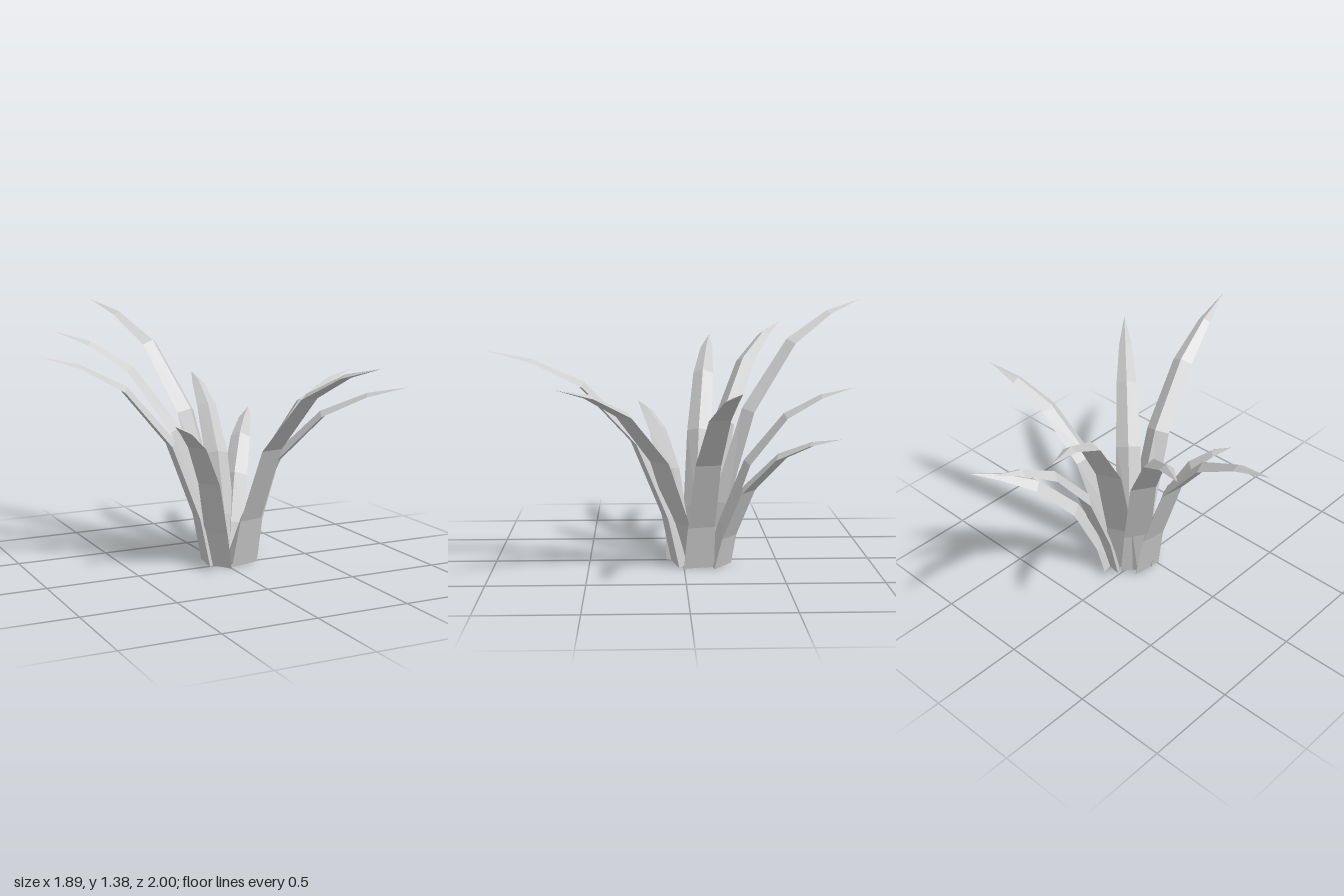
import * as THREE from 'three';

// Each leaf: base x, base z, tip x, tip height, tip z
const LEAVES = [
  [0.09, 0.025, 0.32, 1.155, 1.0],
  [0.09, -0.03, 0.74, 1.0, 0.62],
  [0.16, -0.075, 0.94, 1.0, -0.24],
  [0.13, -0.19, 0.53, 0.73, -0.76],
  [0.09, -0.18, 0.2, 0.95, -0.87],
  [0.03, -0.14, -0.38, 1.385, -1.0],
  [-0.02, -0.11, -0.74, 1.245, -0.59],
  [-0.06, -0.07, -0.95, 1.155, -0.19],
  [-0.03, 0.01, -0.39, 0.82, 0.24],
];

// Shared arch: outward fraction, height fraction, blade width, ridge height
const ARCH = [
  [0, 0, 0.165, 0.085],
  [0.06, 0.23, 0.145, 0.055],
  [0.23, 0.58, 0.135, 0.042],
  [0.51, 0.84, 0.112, 0.033],
  [0.77, 0.95, 0.07, 0.02],
  [1, 1, 0, 0],
];

// Arching blade: a triangular section (flat outside, ridge inside) swept to a point
function leafGeometry([bx, bz, tx, h, tz]) {
  const out = new THREE.Vector3(tx - bx, 0, tz - bz);
  const reach = out.length();
  out.normalize();
  const side = new THREE.Vector3(out.z, 0, -out.x);
  const positions = [], index = [];
  const last = ARCH.length - 1;

  ARCH.forEach(([r, y, w, ridge], i) => {
    const a = ARCH[Math.max(i - 1, 0)], b = ARCH[Math.min(i + 1, last)];
    const dr = (b[0] - a[0]) * reach, dy = (b[1] - a[1]) * h, len = Math.hypot(dr, dy);
    // normal of the inner (upper) face; the base ring stays level
    const nr = i ? -dy / len : -1, ny = i ? dr / len : 0;
    const back = -0.12 * w;
    for (const [s, n] of [[w / 2, back], [0, back + ridge], [-w / 2, back]]) {
      const radial = r * reach + nr * n;
      positions.push(
        bx + out.x * radial + side.x * s,
        y * h + ny * n,
        bz + out.z * radial + side.z * s,
      );
    }
  });

  for (let i = 0; i < last; i++) {
    for (let k = 0; k < 3; k++) {
      const a = i * 3 + k, b = i * 3 + (k + 1) % 3, c = b + 3, d = a + 3;
      index.push(a, b, d);
      if (i < last - 1) index.push(b, c, d);
    }
  }
  index.push(0, 2, 1); // base cap

  const geometry = new THREE.BufferGeometry();
  geometry.setAttribute('position', new THREE.Float32BufferAttribute(positions, 3));
  geometry.setIndex(index);
  geometry.computeVertexNormals();
  return geometry;
}

export function createModel() {
  const plant = new THREE.Group();
  plant.name = 'plant';
  const material = new THREE.MeshStandardMaterial({ color: 0xcccccc, flatShading: true });
  LEAVES.forEach((leaf, i) => {
    const mesh = new THREE.Mesh(leafGeometry(leaf), material);
    mesh.name = `leaf${i + 1}`;
    plant.add(mesh);
  });
  return plant;
}
